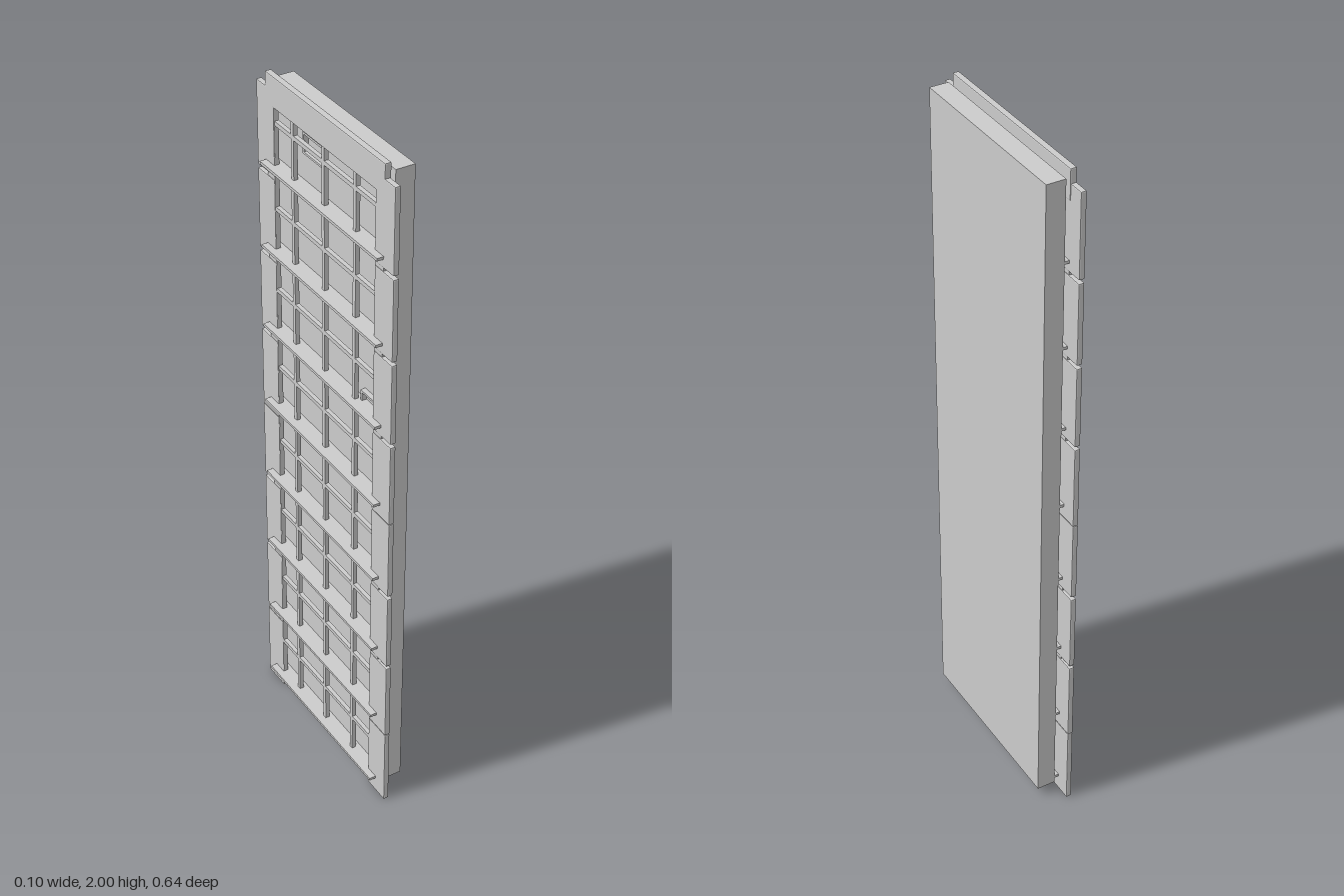
import * as THREE from 'three';
import { RoundedBoxGeometry } from 'three/addons/geometries/RoundedBoxGeometry.js';

const material = new THREE.MeshStandardMaterial({ color: 0xcccccc, flatShading: true });

// Box given by its limits on each axis, optionally with softened edges
function box(parent, name, [x0, x1], [y0, y1], [z0, z1], radius = 0) {
  const size = [x1 - x0, y1 - y0, z1 - z0];
  const geometry = radius
    ? new RoundedBoxGeometry(...size, 1, radius)
    : new THREE.BoxGeometry(...size);
  const mesh = new THREE.Mesh(geometry, material);
  mesh.name = name;
  mesh.position.set((x0 + x1) / 2, (y0 + y1) / 2, (z0 + z1) / 2);
  parent.add(mesh);
  return mesh;
}

function group(parent, name) {
  const g = new THREE.Group();
  g.name = name;
  parent.add(g);
  return g;
}

export function createModel() {
  const model = new THREE.Group();
  model.name = 'wallPanel';
  const FRAME = [-0.033, -0.017];
  const BAR = [-0.030, -0.018];
  const PITCH = 0.243;

  // Thick flat board
  box(model, 'board', [-0.004, 0.05], [0.03, 1.977], [-0.275, 0.275]);

  // Side columns made of stacked plates, with narrow open joints between most
  const columns = group(model, 'sideColumns');
  const plates = [
    [0, 0.245], [0.246, 0.49], [0.499, 0.733], [0.743, 0.98],
    [0.981, 1.224], [1.234, 1.469], [1.479, 1.712], [1.722, 1.96],
  ];
  for (const side of [-1, 1]) {
    for (const y of plates) {
      const z = side > 0 ? [0.235, 0.319] : [-0.319, -0.235];
      box(columns, 'columnPlate', FRAME, y, z, 0.003);
    }
    // Inner spine joining the plates
    const spine = side > 0 ? [0.235, 0.272] : [-0.272, -0.235];
    box(columns, 'columnSpine', [-0.031, -0.019], [0.03, 1.95], spine);
  }

  // Top rail
  box(model, 'topRail', [-0.033, -0.015], [1.915, 2], [-0.275, 0.275], 0.003);

  // Lattice between the columns
  const lattice = group(model, 'lattice');
  for (const z of [-0.15, -0.005, 0.14]) {
    box(lattice, 'uprightBar', BAR, [0.05, 1.92], [z - 0.006, z + 0.006]);
  }
  for (let i = 0; i < 8; i++) {
    const y = 0.05 + PITCH * (i + 0.5);
    box(lattice, 'crossBar', BAR, [y - 0.006, y + 0.006], [-0.236, 0.236]);
  }

  // Thin horizontal ribs that tie the frame to the board
  const ribs = group(model, 'ribs');
  for (let i = 0; i < 8; i++) {
    const y = 0.05 + PITCH * i;
    box(ribs, 'rib', [-0.052, -0.003], [y - 0.004, y + 0.004], [-0.275, 0.275]);
  }

  // Small open boxes set against the board
  function socket([y0, y1], [z0, z1]) {
    const s = group(model, 'socket');
    const x = [-0.018, -0.003], t = 0.006;
    box(s, 'socketTop', x, [y1 - t, y1], [z0, z1]);
    box(s, 'socketBottom', x, [y0, y0 + t], [z0, z1]);
    box(s, 'socketSide', x, [y0, y1], [z0, z0 + t]);
    box(s, 'socketSide', x, [y0, y1], [z1 - t, z1]);
  }
  socket([1.84, 1.9], [-0.12, -0.025]);
  socket([1.24, 1.3], [0.155, 0.225]);

  return model;
}
